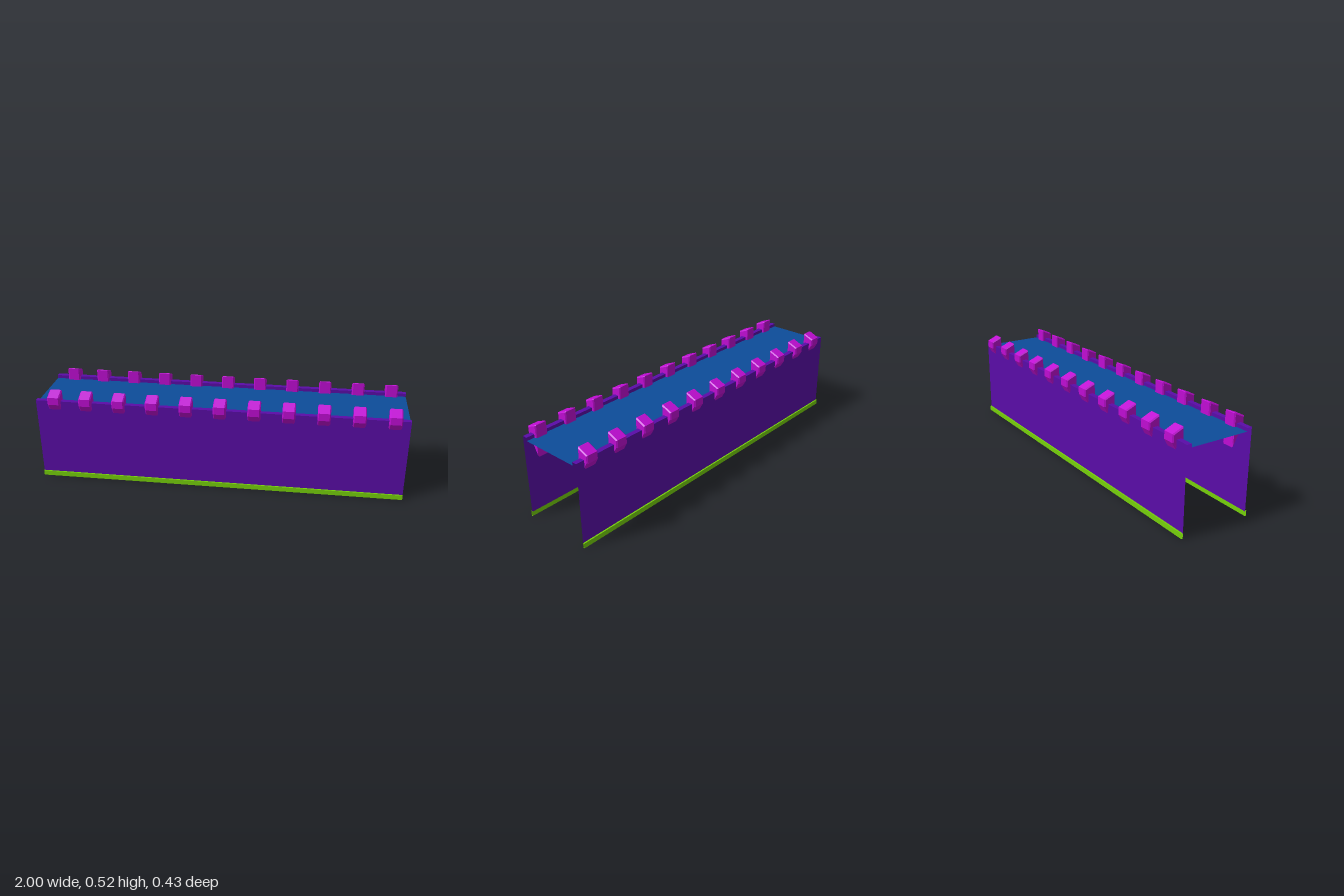
import * as THREE from 'three';

const HALF = 1; // half length of the span

// Open sheet: a (z, y) cross-section swept along x
function sweep(name, section, material) {
  const pos = [];
  for (let i = 0; i < section.length - 1; i++) {
    const [z0, y0] = section[i], [z1, y1] = section[i + 1];
    pos.push(-HALF, y0, z0, HALF, y0, z0, HALF, y1, z1);
    pos.push(-HALF, y0, z0, HALF, y1, z1, -HALF, y1, z1);
  }
  const geo = new THREE.BufferGeometry();
  geo.setAttribute('position', new THREE.Float32BufferAttribute(pos, 3));
  geo.computeVertexNormals();
  const mesh = new THREE.Mesh(geo, material);
  mesh.name = name;
  return mesh;
}

// Wedge-shaped battlement block with chamfered ends, centred across its width
function battlementGeometry() {
  const shape = new THREE.Shape([
    [0.15, 0.342], [0.213, 0.45], [0.213, 0.491], [0.155, 0.516], [0.15, 0.514],
  ].map(([x, y]) => new THREE.Vector2(x, y)));
  const bevel = 0.006, width = 0.068;
  const geo = new THREE.ExtrudeGeometry(shape, {
    depth: width - 2 * bevel, bevelEnabled: true, bevelSegments: 1,
    bevelSize: bevel, bevelThickness: bevel, bevelOffset: -bevel,
  });
  geo.translate(0, 0, bevel - width / 2);
  return geo;
}

export function createModel() {
  const make = (name, color, side = THREE.DoubleSide) => {
    const m = new THREE.MeshStandardMaterial({ color, side });
    m.name = name;
    return m;
  };
  const purple = make('wall purple', 0x5a0ca8);
  const green = make('base green', 0x76d00a);
  const blue = make('deck blue', 0x0d4c9a);
  const magenta = make('battlement magenta', 0xc00dd4, THREE.FrontSide);

  const model = new THREE.Group();
  model.name = 'walledBridge';

  // Walkway between the walls
  model.add(sweep('deck', [[0.165, 0.445], [-0.165, 0.445]], blue));

  const block = battlementGeometry();
  const xs = [-0.895];
  for (let i = 9; i >= 0; i--) xs.push(0.92 - 0.1825 * i);

  for (const s of [1, -1]) {
    const side = new THREE.Group();
    side.name = s > 0 ? 'frontSide' : 'backSide';
    const mirror = (pts) => pts.map(([z, y]) => [s * z, y]);

    // Wall sheet with a lip folded down to the deck
    side.add(sweep('wall', mirror([[0.192, 0.025], [0.192, 0.463], [0.165, 0.463], [0.165, 0.445]]), purple));
    // Slightly projecting base strip
    side.add(sweep('baseStrip', mirror([[0.192, 0], [0.2, 0], [0.2, 0.027], [0.192, 0.027], [0.192, 0]]), green));

    // Row of battlements
    for (const x of xs) {
      const mesh = new THREE.Mesh(block, magenta);
      mesh.name = 'battlement';
      mesh.position.x = x;
      mesh.rotation.y = -s * Math.PI / 2;
      side.add(mesh);
    }
    model.add(side);
  }
  return model;
}
